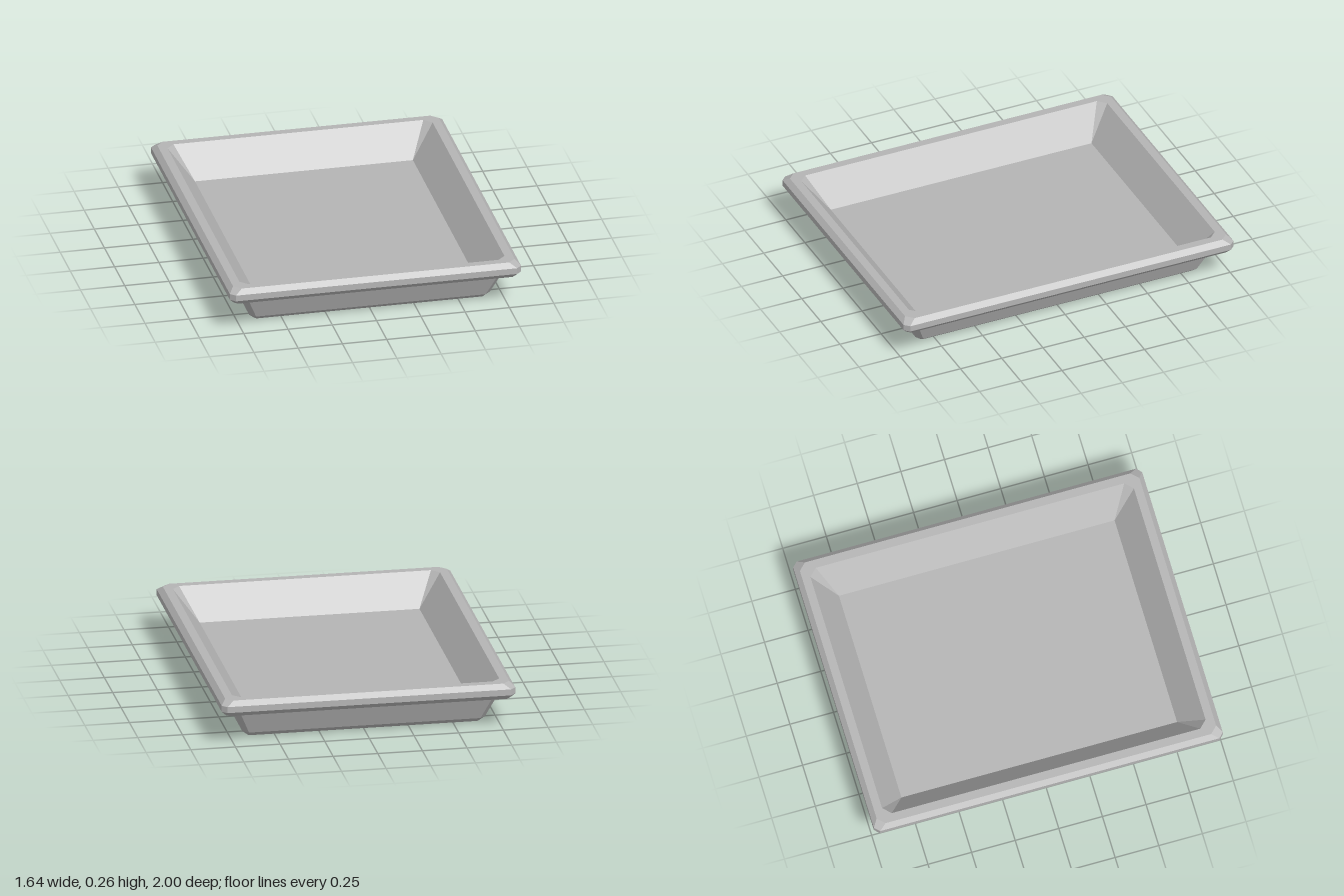
import * as THREE from 'three';

// Chamfered rectangle: half width, half depth, height, corner cut
function ring([w, d, y, c]) {
  const corners = [
    [w, d - c], [w - c, d], [c - w, d], [-w, d - c],
    [-w, c - d], [c - w, -d], [w - c, -d], [w, c - d],
  ];
  return corners.map(([x, z]) => new THREE.Vector3(x, y, z));
}

// Joins successive rings with flat faces, skipping collapsed triangles
function loft(name, sections, material) {
  const rings = sections.map(ring);
  const positions = [];
  const addTriangle = (a, b, c) => {
    if (new THREE.Triangle(a, b, c).getArea() < 1e-7) return;
    for (const p of [a, b, c]) positions.push(p.x, p.y, p.z);
  };
  for (let r = 0; r < rings.length - 1; r++) {
    for (let i = 0; i < 8; i++) {
      const j = (i + 1) % 8;
      const a = rings[r][i], b = rings[r][j], c = rings[r + 1][j], d = rings[r + 1][i];
      addTriangle(a, d, b);
      addTriangle(b, d, c);
    }
  }
  const geometry = new THREE.BufferGeometry();
  geometry.setAttribute('position', new THREE.Float32BufferAttribute(positions, 3));
  geometry.computeVertexNormals();
  const mesh = new THREE.Mesh(geometry, material);
  mesh.name = name;
  return mesh;
}

export function createModel() {
  const group = new THREE.Group();
  group.name = 'tray';
  const metal = new THREE.MeshStandardMaterial({ color: 0xb4b4b4 });
  metal.name = 'grey metal';

  // Underside and sloping outer walls
  group.add(loft('outerBody', [
    [0, 0, 0, 0],
    [0.645, 0.825, 0, 0.008],
    [0.68, 0.86, 0.028, 0.032],
    [0.74, 0.92, 0.172, 0.03],
  ], metal));

  // Bevelled overhanging rim
  group.add(loft('rim', [
    [0.74, 0.92, 0.172, 0.03],
    [0.795, 0.973, 0.172, 0.02],
    [0.822, 1, 0.2, 0.028],
    [0.822, 1, 0.235, 0.028],
    [0.795, 0.973, 0.262, 0.04],
    [0.748, 0.927, 0.262, 0.043],
  ], metal));

  // Sloping inner walls and floor
  group.add(loft('innerBasin', [
    [0.748, 0.927, 0.262, 0.043],
    [0.615, 0.79, 0.09, 0],
    [0, 0, 0.09, 0],
  ], metal));

  return group;
}
